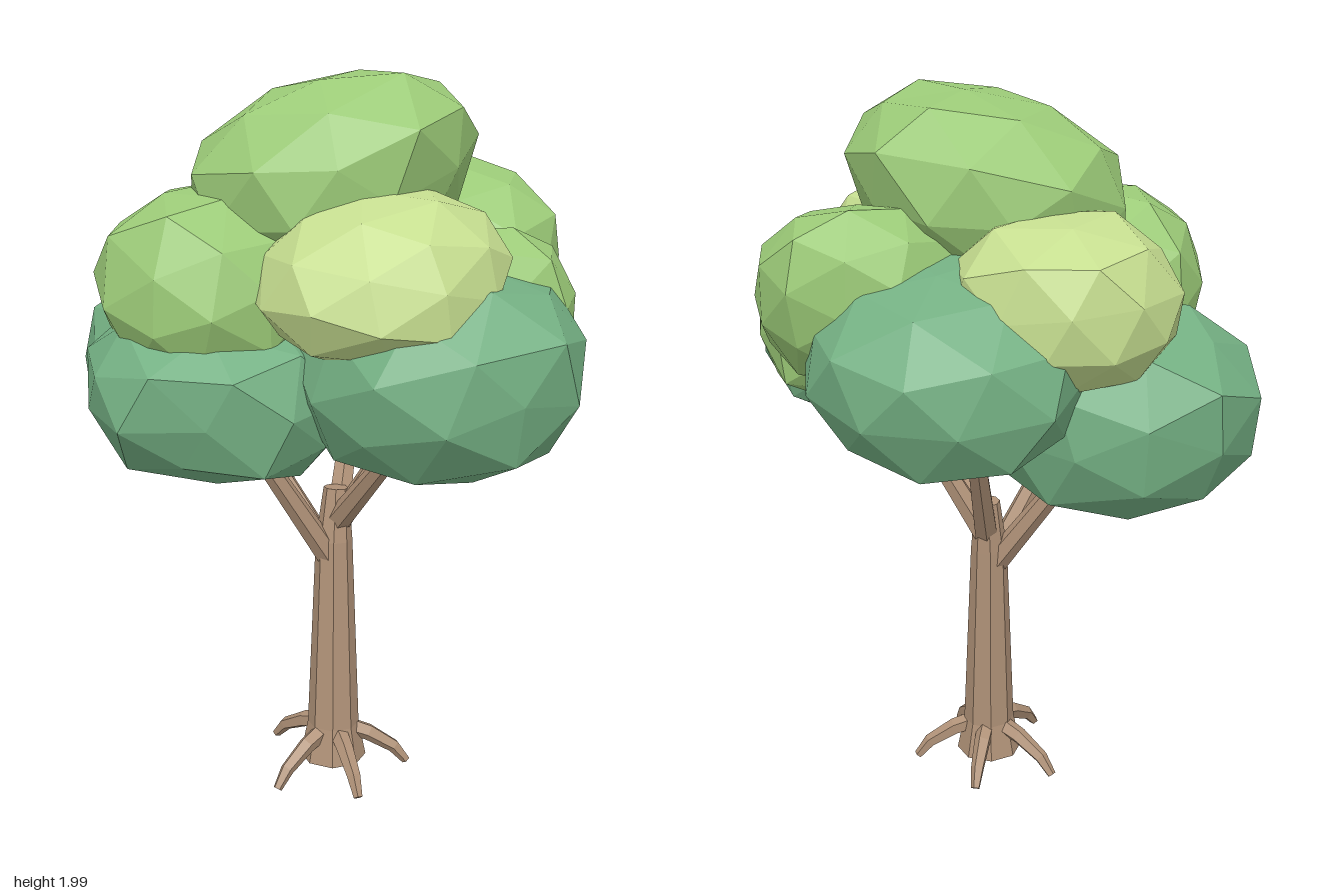
import * as THREE from 'three';

const material = (color) => new THREE.MeshStandardMaterial({ color, flatShading: true });
const bark = material(0xb09278);
const darkLeaf = material(0x74b083);
const midLeaf = material(0x9ccb78);
const lightLeaf = material(0xc6de90);

// Faceted limb: a cylinder whose rings follow the points [x, y, z, radius], start to end
function limb(name, points, sides) {
  const last = points.length - 1;
  const centres = points.map(([x, y, z]) => new THREE.Vector3(x, y, z));
  const turns = centres.map((_, i) => {
    const dir = centres[Math.min(i + 1, last)].clone().sub(centres[Math.max(i - 1, 0)]).normalize();
    return new THREE.Quaternion().setFromUnitVectors(new THREE.Vector3(0, 1, 0), dir);
  });
  const geometry = new THREE.CylinderGeometry(1, 1, 1, sides, last);
  const pos = geometry.attributes.position;
  const v = new THREE.Vector3();
  for (let i = 0; i < pos.count; i++) {
    v.fromBufferAttribute(pos, i);
    const ring = Math.round((v.y + 0.5) * last);
    v.setY(0).multiplyScalar(points[ring][3]).applyQuaternion(turns[ring]).add(centres[ring]);
    pos.setXYZ(i, v.x, v.y, v.z);
  }
  geometry.computeVertexNormals();
  const mesh = new THREE.Mesh(geometry, bark);
  mesh.name = name;
  return mesh;
}

// Repeatable noise in -1..1 from a position, so coincident corners move together
function noise(v, seed) {
  const key = Math.round(v.x * 50) * 12.99 + Math.round(v.y * 50) * 78.23 + Math.round(v.z * 50) * 37.72;
  const s = Math.sin(key + seed * 4.13) * 43758.55;
  return 2 * (s - Math.floor(s)) - 1;
}

// Irregular, slightly boxy leaf clump, leaned up along x and z, fitted to a centre and half sizes
function clump(name, mat, centre, half, [leanX, leanZ], seed) {
  const geometry = new THREE.IcosahedronGeometry(1, 1);
  geometry.rotateY(seed * 1.7).rotateX(seed * 0.9);
  const pos = geometry.attributes.position;
  const v = new THREE.Vector3();
  const power = 2.35;
  for (let i = 0; i < pos.count; i++) {
    v.fromBufferAttribute(pos, i);
    const sum = v.toArray().reduce((total, c) => total + Math.abs(c) ** power, 0);
    v.multiplyScalar((1 + 0.05 * noise(v, seed)) / sum ** (1 / power));
    pos.setXYZ(i, v.x, v.y + leanX * v.x + leanZ * v.z, v.z);
  }
  geometry.center();
  const size = geometry.boundingBox.getSize(new THREE.Vector3());
  geometry.scale(...half.map((h, i) => (2 * h) / size.getComponent(i)));
  geometry.computeVertexNormals();
  const mesh = new THREE.Mesh(geometry, mat);
  mesh.name = name;
  mesh.position.set(...centre);
  return mesh;
}

export function createModel() {
  const tree = new THREE.Group();
  tree.name = 'tree';

  // Slightly leaning trunk with a flared foot
  tree.add(limb('trunk', [
    [0.045, 0.035, 0.062, 0.095],
    [0.045, 0.14, 0.06, 0.074],
    [0.045, 0.7, 0.03, 0.052],
    [0.05, 0.85, 0.015, 0.035],
  ], 8));

  // Branches: start and end
  const branches = [
    [[0.04, 0.64, 0.04], [-0.22, 1.09, 0.15]],
    [[0.04, 0.64, 0.03], [-0.25, 1.08, -0.11]],
    [[0.045, 0.74, 0.02], [0.22, 1.05, 0.25]],
    [[0.04, 0.72, 0.02], [0.28, 1.13, 0.07]],
    [[0.05, 0.72, 0.04], [0.11, 1.17, -0.28]],
  ];
  for (const [from, to] of branches) {
    tree.add(limb('branch', [[...from, 0.037], [...to, 0.024]], 6));
  }

  // Roots arch out of the foot and bend to the ground
  const ends = [[0.26, 0.06], [0.12, 0.275], [-0.11, 0.235], [-0.13, -0.09], [0.1, -0.145]];
  for (const [x, z] of ends) {
    const at = (t, y, r) => [0.045 + (x - 0.045) * t, y, 0.06 + (z - 0.06) * t, r];
    tree.add(limb('root', [at(0.2, 0.125, 0.027), at(0.48, 0.105, 0.025), at(0.83, 0.06, 0.02), at(1, 0.014, 0.013)], 5));
  }

  // Crown: name, material, centre, half sizes, lean
  const clumps = [
    ['topLeaves', midLeaf, [0.045, 1.735, 0.035], [0.375, 0.265, 0.375], [0.25, 0.05]],
    ['lowerFrontLeftLeaves', darkLeaf, [0.31, 1.27, 0.35], [0.365, 0.265, 0.345], [0.1, 0]],
    ['lowerFrontRightLeaves', darkLeaf, [-0.25, 1.195, 0.21], [0.345, 0.23, 0.34], [-0.1, 0]],
    ['lowerBackRightLeaves', darkLeaf, [-0.3, 1.175, -0.175], [0.375, 0.265, 0.355], [0, 0]],
    ['lowerBackLeftLeaves', darkLeaf, [0.175, 1.365, -0.345], [0.355, 0.255, 0.35], [0, 0.15]],
    ['middleRightLeaves', midLeaf, [-0.285, 1.46, 0.18], [0.285, 0.26, 0.33], [0, 0]],
    ['middleLeftLeaves', midLeaf, [0.385, 1.495, -0.145], [0.275, 0.245, 0.275], [0, -0.25]],
    ['smallLeftLeaves', midLeaf, [0.42, 1.39, 0.12], [0.25, 0.23, 0.22], [0, 0.25]],
    ['middleFrontLeaves', lightLeaf, [0.16, 1.53, 0.37], [0.325, 0.2, 0.31], [0.1, -0.15]],
    ['middleBackLeaves', lightLeaf, [-0.115, 1.51, -0.32], [0.285, 0.215, 0.305], [0, 0]],
  ];
  clumps.forEach((c, i) => tree.add(clump(...c, i + 1)));

  return tree;
}
